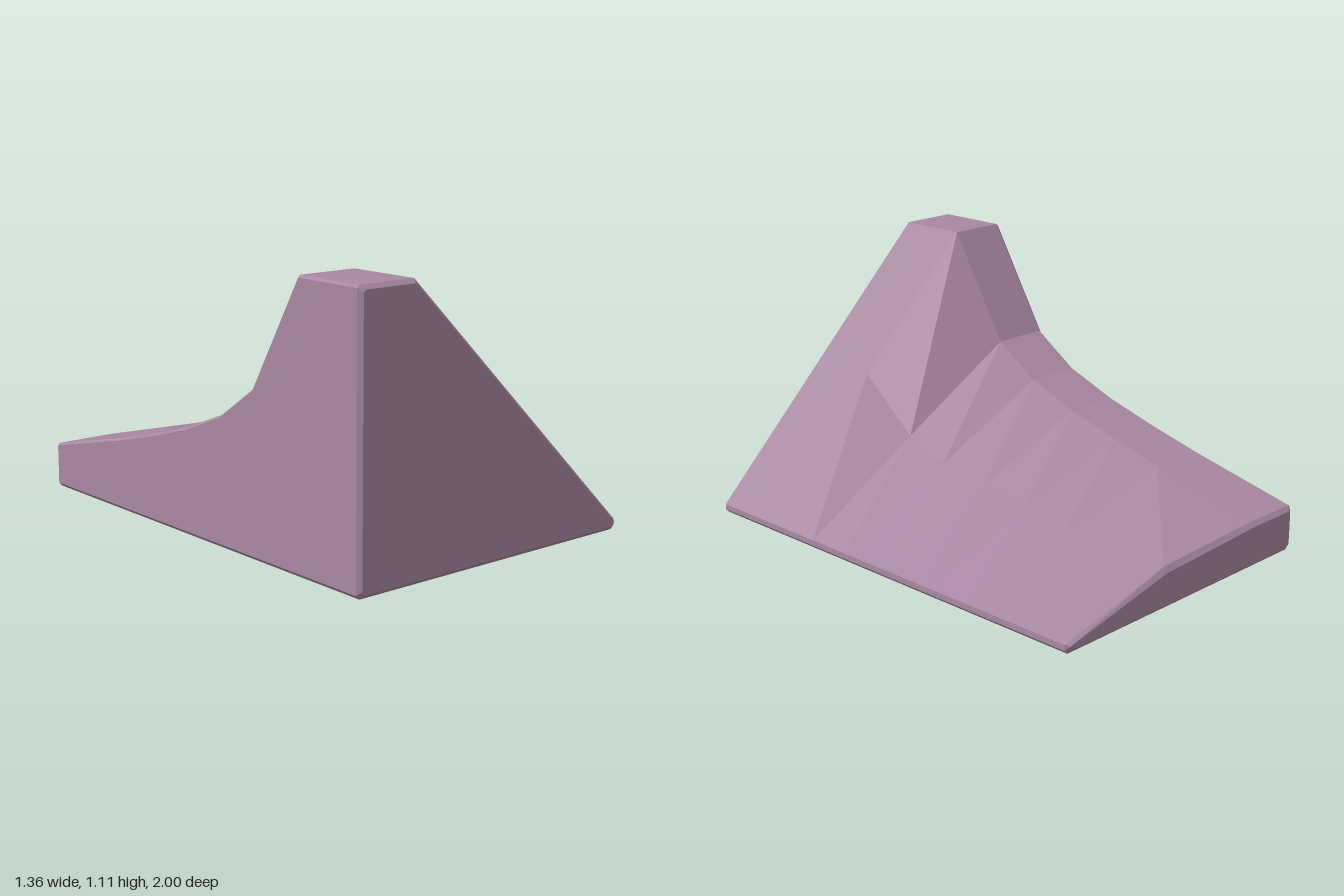
import * as THREE from 'three';

const B = 0.016; // bevel width

// Stations along the depth: z, ridge height, mid-slope height
const stations = [
  [1, 1.11, 0.575],
  [1 - B, 1.11, 0.575],
  [0.67, 1.11, 0.575],
  [0.4, 0.66, 0.355],
  [0.2, 0.525, 0.28],
  [-0.03, 0.435, 0.24],
  [-0.27, 0.365, 0.21],
  [-0.5, 0.305, 0.195],
  [-1 + B, 0.193, 0.17],
  [-1, 0.19, 0.168],
];

// Cross-section, counter-clockwise as seen from the front; inset shrinks the end loops
function section([z, ridge, mid], inset) {
  const side = 0.68 - inset;
  const low = inset;
  const top = ridge - inset;
  return [
    [-side + B, low],
    [side - B, low],
    [side, low + B],
    [side, Math.max(0.04 - inset * 0.4, low + B)],
    [0.13, mid - inset * 1.3],
    [-0.42 - inset * 0.4, top],
    [-side + B * 0.6, top],
    [-side, top - B * 0.6],
    [-side, low + B],
  ].map(([x, y]) => [x, y, z]);
}

function rampGeometry() {
  const last = stations.length - 1;
  const loops = stations.map((s, i) => section(s, i === 0 || i === last ? B : 0));
  const n = loops[0].length;
  const index = [];
  // Skin between neighbouring cross-sections
  for (let i = 0; i < last; i++) {
    for (let k = 0; k < n; k++) {
      const a = i * n + k;
      const b = i * n + (k + 1) % n;
      index.push(a, a + n, b, b, a + n, b + n);
    }
  }
  // Front and back faces
  for (let k = 1; k < n - 1; k++) {
    index.push(0, k, k + 1);
    index.push(last * n, last * n + k + 1, last * n + k);
  }
  const indexed = new THREE.BufferGeometry();
  indexed.setAttribute('position', new THREE.Float32BufferAttribute(loops.flat(2), 3));
  indexed.setIndex(index);
  const geometry = indexed.toNonIndexed();
  geometry.computeVertexNormals();
  return geometry;
}

export function createModel() {
  const group = new THREE.Group();
  group.name = 'curvedRamp';
  const material = new THREE.MeshStandardMaterial({ color: 0xa888a2, flatShading: true });
  const ramp = new THREE.Mesh(rampGeometry(), material);
  ramp.name = 'rampBody';
  group.add(ramp);
  return group;
}
